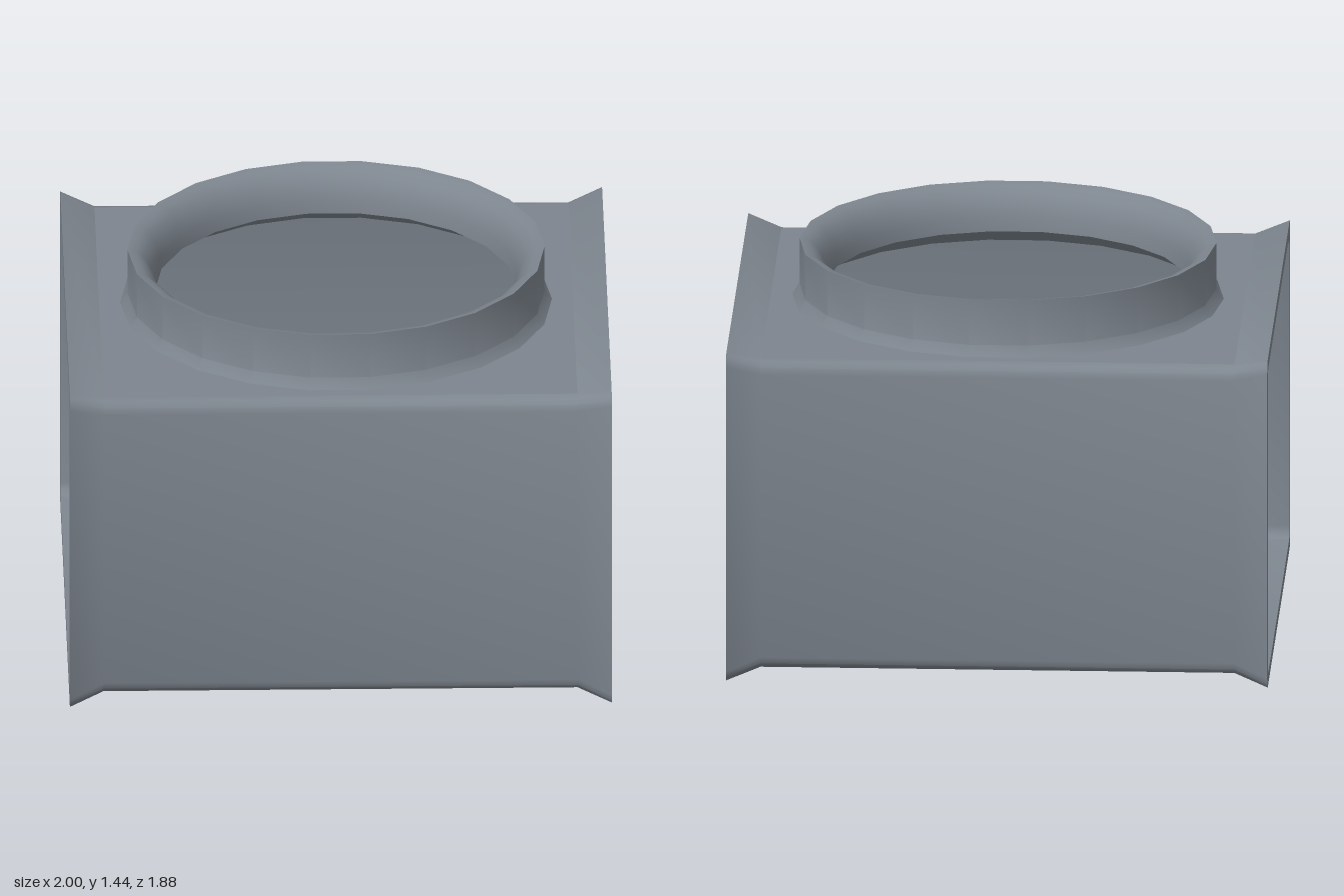
import * as THREE from 'three';
import { toCreasedNormals } from 'three/addons/utils/BufferGeometryUtils.js';

const SIDES = 22;
const CREASE = 0.65;

// Rounded rectangle across the duct at x, running from top front corner round to top back corner
function section(x, halfZ, y0, y1, r, steps = 3) {
  const corners = [[-1, y1 - r, 90], [-1, y0 + r, 180], [1, y0 + r, 270], [1, y1 - r, 0]];
  const pts = [];
  for (const [s, cy, start] of corners) {
    for (let i = 0; i <= steps; i++) {
      const a = THREE.MathUtils.degToRad(start + (90 * i) / steps);
      pts.push([x, cy + r * Math.sin(a), -(s * (halfZ - r) + r * Math.cos(a))]);
    }
  }
  return pts;
}

// Joins neighbouring sections; pairs listed in openTop leave out the top face
function skin(rings, openTop) {
  const pos = [];
  rings.forEach((a, k) => {
    const b = rings[(k + 1) % rings.length];
    const n = a.length;
    for (let j = 0; j < n; j++) {
      if (j === n - 1 && openTop.includes(k)) continue;
      const m = (j + 1) % n;
      pos.push(...a[j], ...a[m], ...b[m], ...a[j], ...b[m], ...b[j]);
    }
  });
  const g = new THREE.BufferGeometry();
  g.setAttribute('position', new THREE.Float32BufferAttribute(pos, 3));
  return toCreasedNormals(g, CREASE);
}

export function createModel() {
  const model = new THREE.Group();
  const material = new THREE.MeshStandardMaterial({ color: 0x7d858e });
  const add = (name, geometry) => {
    const mesh = new THREE.Mesh(geometry, material);
    mesh.name = name;
    model.add(mesh);
    return mesh;
  };

  // Rectangular duct, open at both ends, with flared outer rims and a straight bore
  const flare = (x) => section(x, 0.938, 0, 1.262, 0.045);
  const wall = (x) => section(x, 0.888, 0.038, 1.226, 0.05);
  const bore = (x) => section(x, 0.883, 0.044, 1.216, 0.045);
  add('duct', skin(
    [flare(-1), wall(-0.875), wall(0.875), flare(1), bore(1), bore(0.875), bore(-0.875), bore(-1)],
    [1, 5]
  ));

  // Top panel with the round opening
  const hx = 0.875, hz = 0.838;
  const panel = new THREE.Shape([[-hx, -hz], [hx, -hz], [hx, hz], [-hx, hz]]
    .map(([x, y]) => new THREE.Vector2(x, y)));
  const hole = [];
  for (let i = 0; i < SIDES; i++) {
    const a = (-i / SIDES) * Math.PI * 2;
    hole.push(new THREE.Vector2(0.757 * Math.cos(a), 0.757 * Math.sin(a)));
  }
  panel.holes.push(new THREE.Path(hole));
  const panelGeometry = new THREE.ExtrudeGeometry(panel, { depth: 0.01, bevelEnabled: false });
  panelGeometry.rotateX(-Math.PI / 2);
  add('topPanel', panelGeometry).position.y = 1.216;

  // Collar: flared foot and upright outside, rounded mouth inside, sloping underside
  const profile = [[0.757, 1.216], [0.797, 1.226], [0.77, 1.265], [0.77, 1.44]];
  const steps = 5;
  for (let i = 1; i <= steps; i++) {
    const t = (i / steps) * Math.PI / 2;
    profile.push([0.77 - 0.103 * Math.sin(t), 1.275 + 0.165 * Math.cos(t)]);
  }
  profile.push([0.757, 1.216]);
  const points = profile.map(([r, y]) => new THREE.Vector2(r, y));
  add('collar', toCreasedNormals(new THREE.LatheGeometry(points, SIDES, Math.PI / 2), CREASE));

  return model;
}
